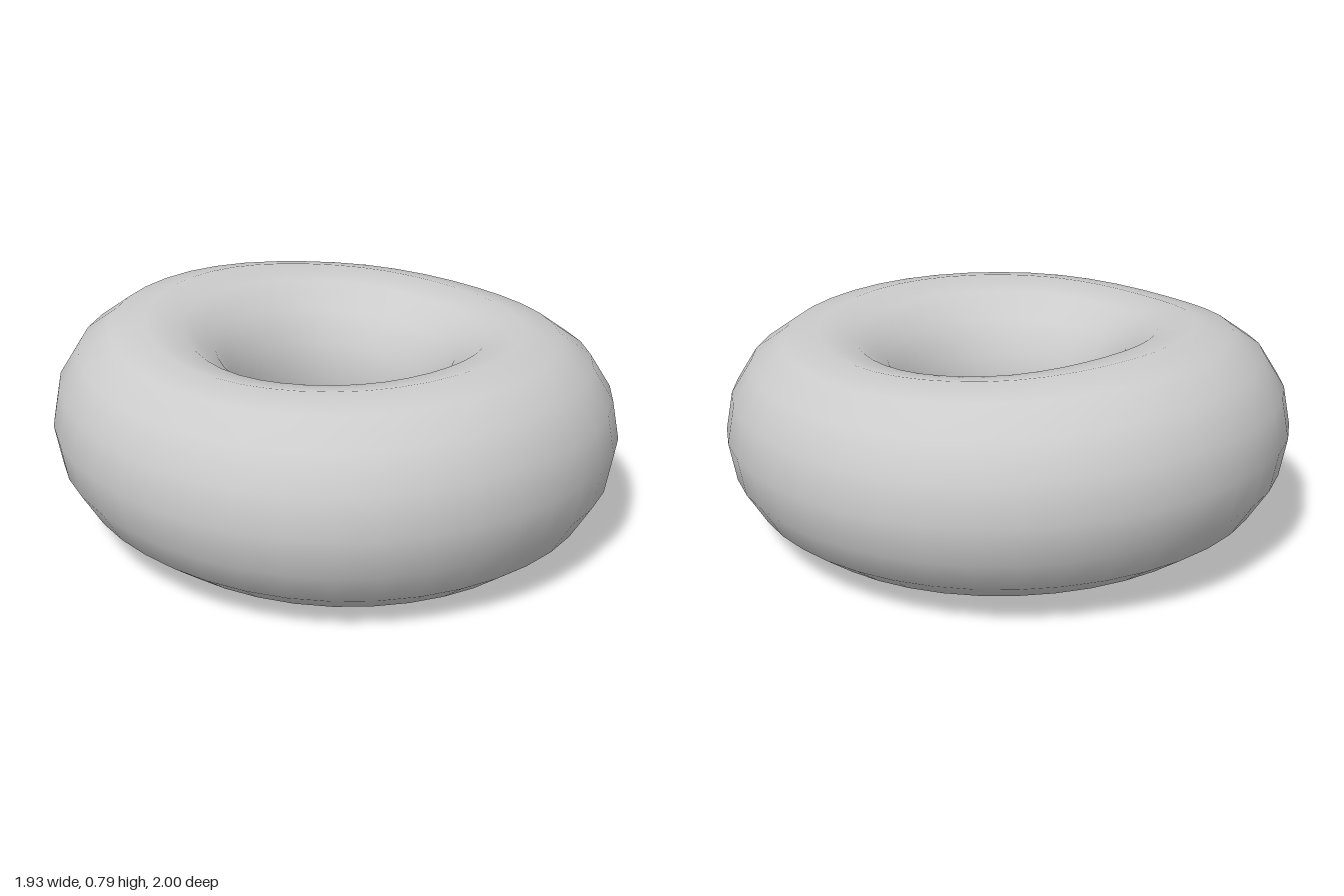
import * as THREE from 'three';

// Ring measurements every 45 degrees, from +x round through +z
const OUTER = [0.965, 1.008, 1.0, 1.012, 0.97, 1.0, 1.0, 0.985];
const INNER = [0.32, 0.325, 0.33, 0.325, 0.33, 0.32, 0.305, 0.31];
const TOP = [0.735, 0.735, 0.745, 0.738, 0.735, 0.78, 0.795, 0.765];
const BOTTOM = [0.03, 0.008, 0.005, 0.02, 0.04, 0.058, 0.06, 0.05];

// Smooth periodic interpolation of a table, t in 0..1
function sample(table, t) {
  const n = table.length;
  const i = Math.floor(t * n);
  const f = t * n - i;
  const [a, b, c, d] = [-1, 0, 1, 2].map((k) => table[(i + k + n) % n]);
  return b + 0.5 * f * (c - a + f * (2 * a - 5 * b + 4 * c - d + f * (3 * (b - c) + d - a)));
}

// Uneven ring: elliptical cross-sections swept round the hole, closed both ways
function ringGeometry(around, sides) {
  const positions = [];
  const indices = [];
  for (let i = 0; i < around; i++) {
    const t = i / around;
    const angle = t * Math.PI * 2;
    const [outer, inner, top, bottom] = [OUTER, INNER, TOP, BOTTOM].map((m) => sample(m, t));
    for (let j = 0; j < sides; j++) {
      const a = (j / sides) * Math.PI * 2;
      const r = (outer + inner) / 2 + ((outer - inner) / 2) * Math.cos(a);
      const y = (top + bottom) / 2 + ((top - bottom) / 2) * Math.sin(a);
      positions.push(r * Math.cos(angle), y, r * Math.sin(angle));

      const i2 = (i + 1) % around;
      const j2 = (j + 1) % sides;
      const p = i * sides + j;
      const q = i2 * sides + j;
      const u = i * sides + j2;
      const v = i2 * sides + j2;
      indices.push(p, u, q, u, v, q);
    }
  }
  const geometry = new THREE.BufferGeometry();
  geometry.setAttribute('position', new THREE.Float32BufferAttribute(positions, 3));
  geometry.setIndex(indices);
  geometry.computeVertexNormals();
  return geometry;
}

export function createModel() {
  const group = new THREE.Group();
  group.name = 'doughnut';
  const material = new THREE.MeshStandardMaterial({ color: 0xcccccc });
  const ring = new THREE.Mesh(ringGeometry(40, 16), material);
  ring.name = 'doughRing';
  group.add(ring);
  return group;
}
